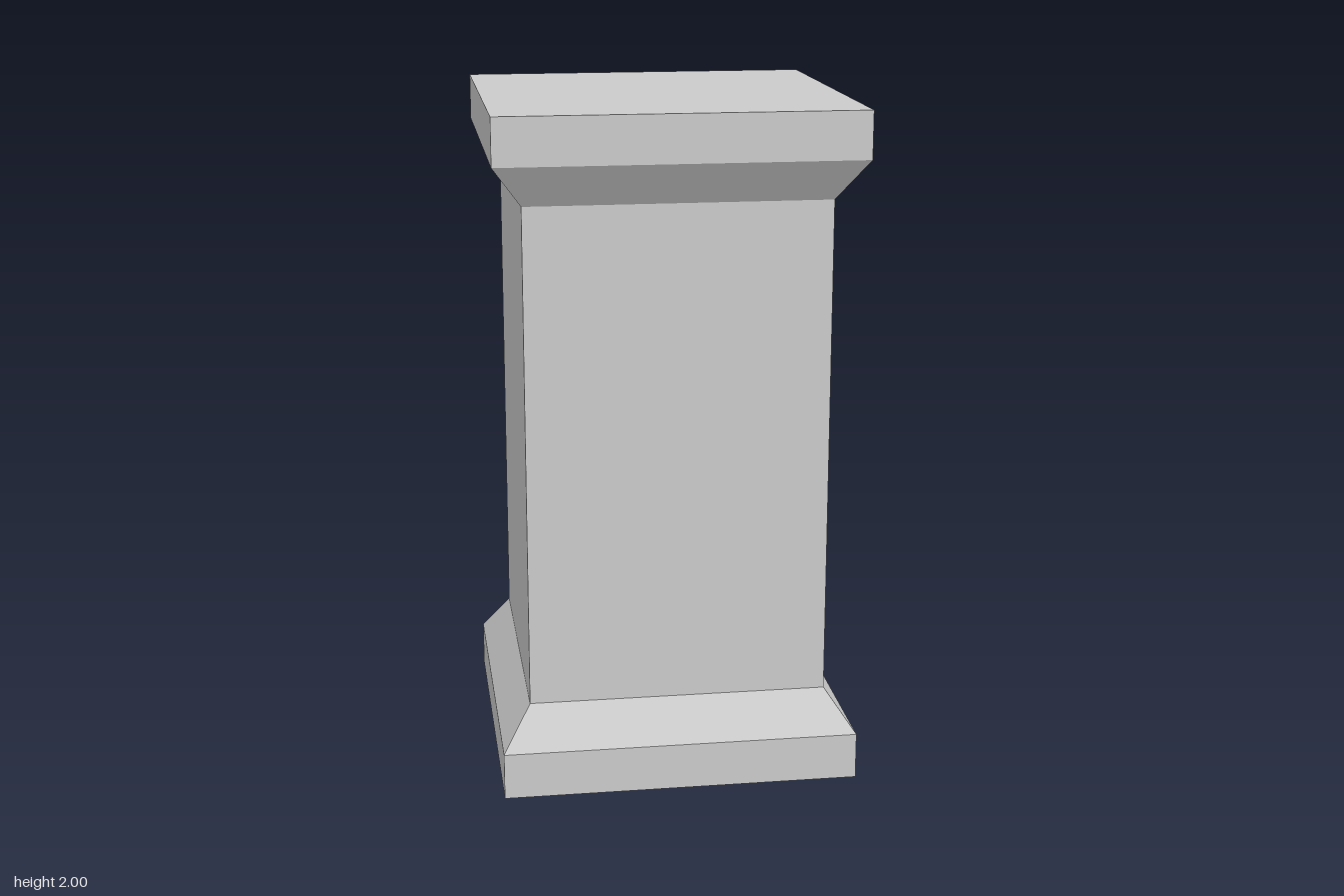
import * as THREE from 'three';

const material = new THREE.MeshStandardMaterial({ color: 0xcccccc, flatShading: true });

// Square section swept up a profile of [half width, height] points
function squareTurned(name, profile) {
  const points = profile.map(([half, y]) => new THREE.Vector2(half * Math.SQRT2, y));
  const geometry = new THREE.LatheGeometry(points, 4, Math.PI / 4).toNonIndexed();
  geometry.computeVertexNormals();
  const mesh = new THREE.Mesh(geometry, material);
  mesh.name = name;
  return mesh;
}

export function createModel() {
  const height = 2, wide = 0.527, narrow = 0.442;
  const slab = 0.138, slope = 0.26; // heights where the slab and the bevel end

  const base = [[0, 0], [wide, 0], [wide, slab], [narrow, slope]];
  // The capital mirrors the base, listed from bottom to top
  const capital = base.map(([half, y]) => [half, height - y]).reverse();

  const group = new THREE.Group();
  group.name = 'pedestal';
  group.add(
    squareTurned('base', base),
    squareTurned('shaft', [[narrow, slope], [narrow, height - slope]]),
    squareTurned('capital', capital)
  );
  return group;
}
